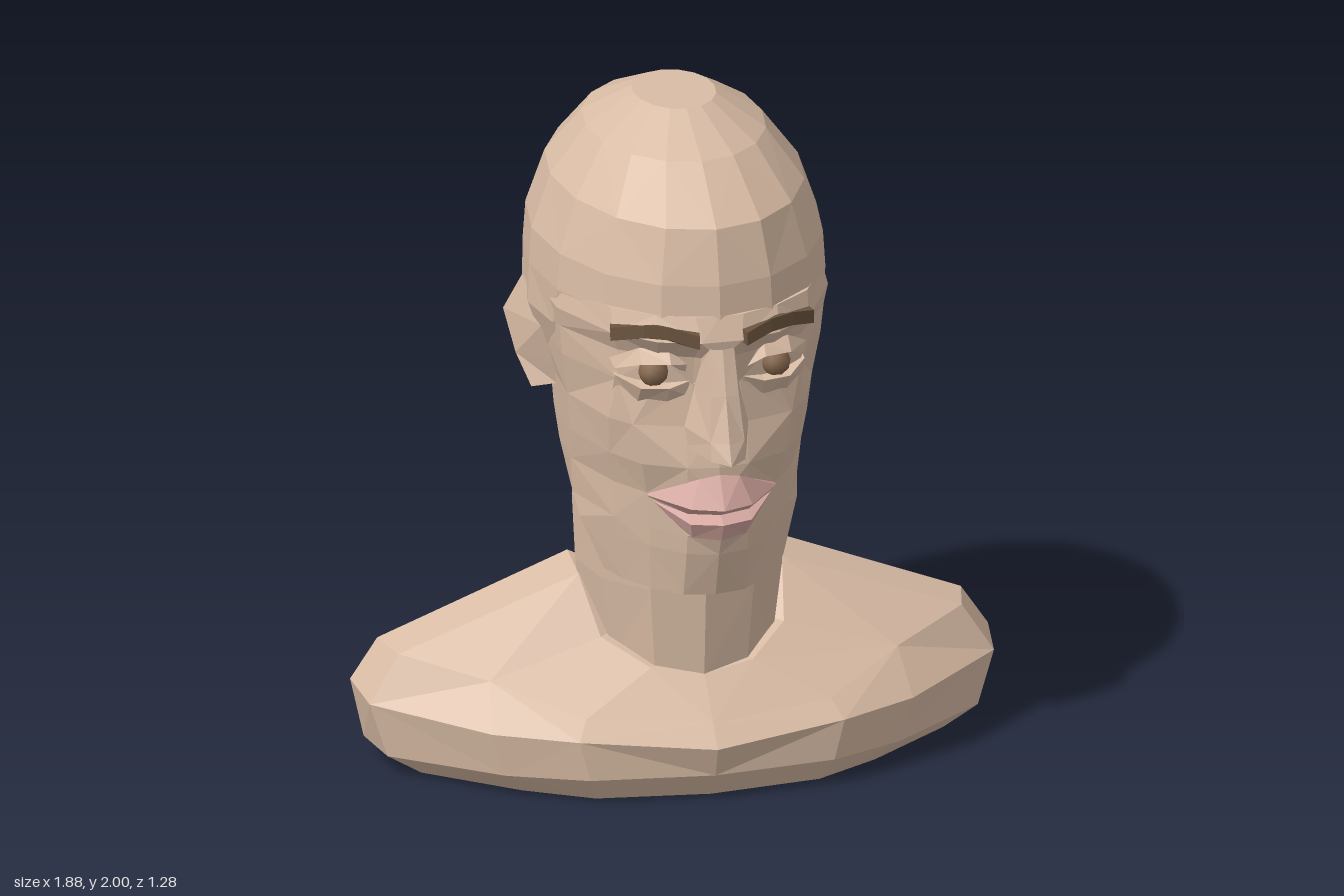
import * as THREE from 'three';

const mat = (name, color) => {
  const m = new THREE.MeshStandardMaterial({ color });
  m.name = name;
  return m;
};

// Faceted surface through rows of points listed top to bottom, each running front > +x > back
function loft(rows, closed) {
  const out = [];
  const tri = (a, b, c) => out.push(...a, ...b, ...c);
  const n = rows[0].length;
  for (let i = 0; i < rows.length - 1; i++) {
    for (let j = 0; j < (closed ? n : n - 1); j++) {
      const k = (j + 1) % n;
      const a = rows[i][j], b = rows[i][k], c = rows[i + 1][k], d = rows[i + 1][j];
      if ((i + j) % 2) { tri(a, d, c); tri(a, c, b); } else { tri(a, d, b); tri(b, d, c); }
    }
  }
  if (closed) {
    const cap = (row, top) => {
      const mid = [0, 1, 2].map(q => row.reduce((s, p) => s + p[q], 0) / n);
      row.forEach((p, j) => {
        const q = row[(j + 1) % n];
        if (top) tri(mid, p, q); else tri(mid, q, p);
      });
    };
    cap(rows[0], true);
    cap(rows[rows.length - 1], false);
  }
  const g = new THREE.BufferGeometry();
  g.setAttribute('position', new THREE.Float32BufferAttribute(out, 3));
  g.computeVertexNormals();
  return g;
}

// Complete a half row (front centre outwards) to both sides
const whole = half => [
  ...half.slice(1).filter(p => p[0] > 0.001).reverse().map(([x, y, z]) => [-x, y, z]),
  ...half,
];

// Put a row on one side of the body, keeping its turning direction
const onSide = (row, s) => (s > 0 ? row : row.map(([x, y, z]) => [-x, y, z]).reverse());

// Egg-shaped half ring: height, front z, back z, half width, z of the widest point
function eggRing(y, front, back, w, c, n = 8) {
  const row = [];
  for (let i = 0; i <= n; i++) {
    const a = (i / n) * Math.PI, k = Math.cos(a);
    row.push([i === n ? 0 : w * Math.sin(a), y, c + (k > 0 ? front - c : c - back) * k]);
  }
  return row;
}

export function createModel() {
  const model = new THREE.Group();
  const skin = mat('skin', 0xd9bca5);
  const lipPink = mat('lipPink', 0xd6a8a1);
  const browBrown = mat('browBrown', 0x6b543f);
  const eyeBrown = mat('eyeBrown', 0x86684e);
  const add = (name, geometry, material) => {
    const mesh = new THREE.Mesh(geometry, material);
    mesh.name = name;
    model.add(mesh);
  };

  // Shoulders, from the root of the neck down to the flat base
  add('shoulders', loft([
    [[0, .34, .3], [.15, .36, .27], [.27, .42, .15], [.3, .56, 0], [.3, .58, -.14], [.26, .5, -.28], [.14, .38, -.35], [0, .35, -.37]],
    [[0, .23, .41], [.36, .25, .35], [.6, .32, .17], [.83, .36, 0], [.86, .36, -.14], [.77, .34, -.25], [.32, .3, -.45], [0, .27, -.48]],
    [[0, .17, .47], [.39, .2, .4], [.62, .2, .28], [.92, .22, .02], [.94, .24, -.14], [.84, .26, -.27], [.34, .25, -.51], [0, .24, -.515]],
    [[0, .08, .44], [.36, .08, .4], [.58, .07, .28], [.87, .06, .03], [.9, .06, -.14], [.82, .06, -.26], [.33, .07, -.51], [0, .07, -.53]],
    [[0, 0, .38], [.33, 0, .34], [.52, 0, .23], [.77, 0, .03], [.8, 0, -.13], [.73, 0, -.23], [.3, 0, -.43], [0, 0, -.45]],
  ].map(whole), true), skin);

  // Neck
  add('neck', loft([
    [1.15, .1, -.27, .28], [1.03, .2, -.3, .3], [.8, .33, -.35, .315],
    [.6, .32, -.355, .305], [.33, .3, -.365, .27],
  ].map(r => whole(eggRing(...r, -.02, 6))), true), skin);

  // Skull; its lower front lies behind the face
  add('skull', loft([
    [2, .08, -.23, .12], [1.91, .27, -.43, .26], [1.77, .45, -.57, .365],
    [1.61, .49, -.625, .42], [1.5, .5, -.64, .427], [1.38, .36, -.635, .43],
    [1.25, .3, -.56, .385], [1.13, .2, -.47, .31], [1.03, .05, -.31, .2],
  ].map(r => whole(eggRing(...r, -.08))), true), skin);

  // Face: [height, then x and z pairs from the centre to the ear, then the back]
  const face = [
    [1.52, 0, .495, .07, .49, .18, .445, .29, .355, .38, .16, .4, -.1],
    [1.45, 0, .52, .06, .52, .18, .48, .29, .38, .4, .15, .41, -.11],
    [1.39, 0, .51, .07, .47, .17, .43, .27, .36, .39, .14, .4, -.11],
    [1.3, 0, .52, .07, .45, .17, .42, .27, .36, .38, .14, .39, -.12],
    [1.17, 0, .47, .09, .45, .235, .4, .29, .33, .36, .12, .355, -.12],
    [1.05, 0, .49, .09, .475, .21, .41, .28, .3, .35, .1, .345, -.12],
    [.95, 0, .49, .09, .46, .19, .385, .26, .28, .34, .07, .335, -.09],
    [.84, 0, .51, .09, .47, .18, .38, .26, .27, .33, .06, .32, -.02],
    [.78, 0, .485, .09, .46, .18, .37, .25, .27, .32, .1, .3, .02],
    [.64, 0, .44, .09, .42, .17, .35, .23, .26, .265, .17, .2, .12],
  ].map(([y, ...v]) => {
    const row = [];
    for (let i = 0; i < v.length; i += 2) row.push([v[i], y, v[i + 1]]);
    row.push([0, y, v[v.length - 1]]);
    return whole(row);
  });
  add('face', loft(face, true), skin);

  // Nose
  add('nose', loft([
    [[0, 1.43, .53], [.035, 1.43, .52], [.06, 1.43, .47]],
    [[0, 1.3, .57], [.04, 1.3, .56], [.07, 1.3, .43]],
    [[0, 1.17, .615], [.05, 1.17, .59], [.1, 1.17, .43]],
    [[0, 1.11, .64], [.05, 1.115, .6], [.09, 1.11, .45]],
    [[0, 1.06, .49], [.02, 1.07, .48], [.05, 1.09, .45]],
  ].map(whole), false), skin);

  // Lips: upper edge, upper crest, mouth line, lower crest, lower edge
  add('lips', loft([
    [[0, 1.03, .495], [.06, 1.02, .49], [.185, .95, .39]],
    [[0, .94, .555], [.09, .94, .52], [.19, .945, .395]],
    [[0, .91, .505], [.09, .91, .475], [.185, .94, .39]],
    [[0, .89, .54], [.09, .89, .51], [.18, .93, .39]],
    [[0, .835, .515], [.08, .84, .485], [.17, .91, .385]],
  ].map(whole), false), lipPink);

  for (const s of [1, -1]) {
    const side = s > 0 ? 'left' : 'right';

    // Ear: three-cornered rings of front root, outer rim and back root
    add(side + 'Ear', loft([
      [[.4, 1.4, -.05], [.43, 1.44, -.15], [.4, 1.42, -.14]],
      [[.4, 1.32, -.04], [.475, 1.32, -.2], [.38, 1.32, -.14]],
      [[.36, 1.2, -.04], [.45, 1.2, -.15], [.35, 1.2, -.13]],
      [[.35, 1.13, -.06], [.415, 1.11, -.1], [.34, 1.12, -.11]],
    ].map(r => onSide(r, s)), true), skin);

    // Eyebrow: an arched bar that follows the forehead
    const path = [[.07, 1.44, .54], [.15, 1.465, .51], [.22, 1.465, .475], [.3, 1.435, .4]];
    const loop = [...path, ...path.map(([x, y, z]) => [x - .015, y, z - .075]).reverse()];
    add(side + 'Eyebrow', loft([.04, 0].map(h =>
      onSide(loop.map(([x, y, z]) => [x, y + h, z]), s)), true), browBrown);

    // Eyeball
    const ball = new THREE.IcosahedronGeometry(.044, 1).translate(s * .18, 1.34, .425);
    add(side + 'Eye', ball, eyeBrown);

    // Upper and lower eyelids
    add(side + 'UpperEyelid', loft([
      [[.07, 1.36, .45], [.14, 1.41, .45], [.22, 1.41, .41], [.29, 1.36, .34]],
      [[.09, 1.34, .45], [.14, 1.375, .475], [.22, 1.375, .455], [.28, 1.335, .365]],
      [[.09, 1.33, .43], [.14, 1.37, .42], [.22, 1.37, .39], [.28, 1.33, .34]],
    ].map(r => onSide(r, s)), false), skin);
    add(side + 'LowerEyelid', loft([
      [[.08, 1.315, .43], [.14, 1.305, .42], [.22, 1.305, .39], [.28, 1.32, .34]],
      [[.08, 1.31, .45], [.14, 1.295, .46], [.22, 1.295, .44], [.28, 1.315, .365]],
      [[.08, 1.26, .44], [.14, 1.23, .42], [.22, 1.23, .39], [.28, 1.26, .34]],
    ].map(r => onSide(r, s)), false), skin);
  }
  return model;
}
